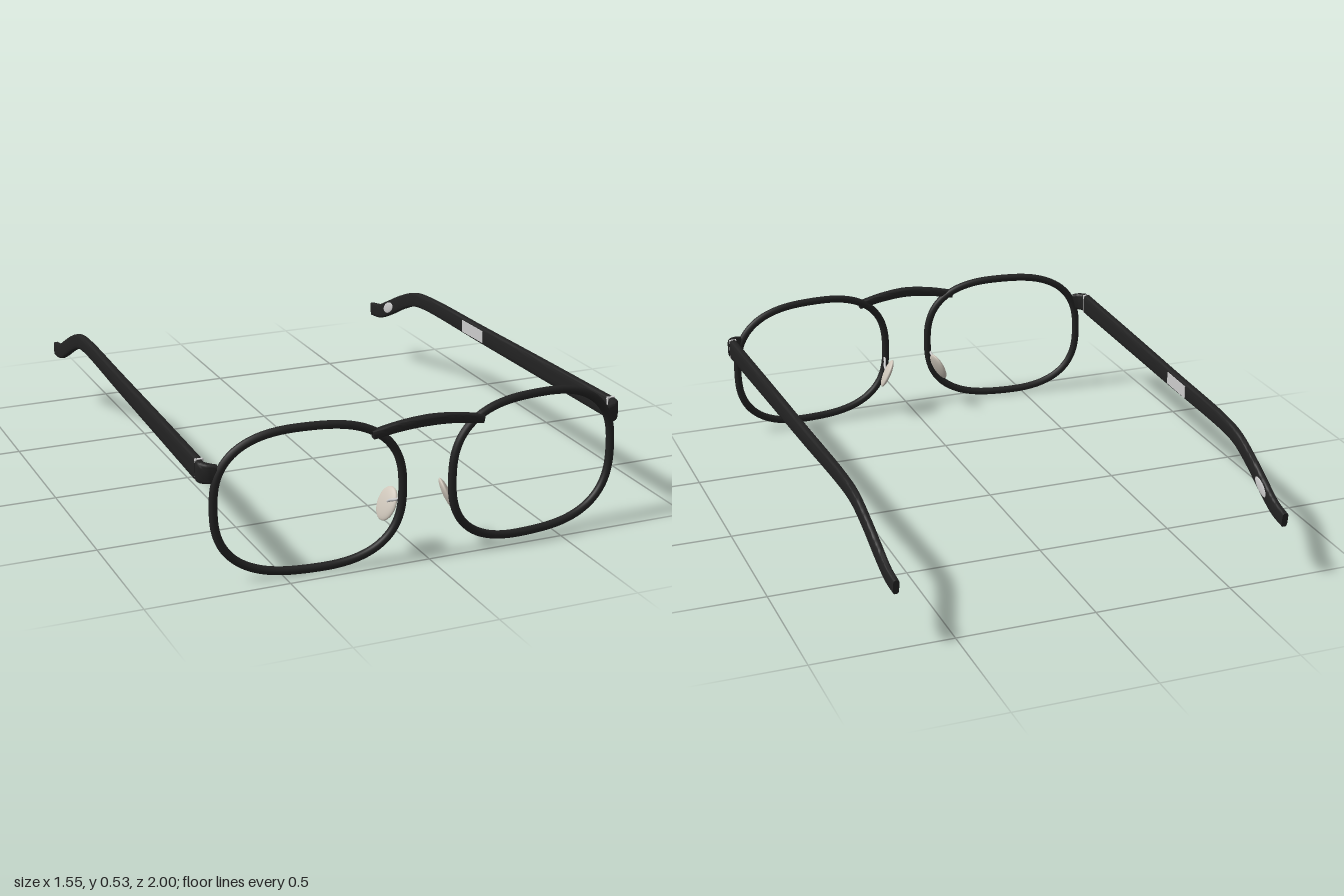
import * as THREE from 'three';
import { toCreasedNormals } from 'three/addons/utils/BufferGeometryUtils.js';

const black = new THREE.MeshStandardMaterial({ color: 0x222222 });
const grey = new THREE.MeshStandardMaterial({ color: 0xcccccc });
const padMat = new THREE.MeshStandardMaterial({ color: 0xcdc5b9 });
const V = (x, y, z) => new THREE.Vector3(x, y, z);

function add(parent, name, geometry, material) {
  const mesh = new THREE.Mesh(geometry, material);
  mesh.name = name;
  parent.add(mesh);
  return mesh;
}

// Sweeps a rounded rectangle along stations [x, y, z, halfWidth, halfHeight]
function sweep(stations, steps, sides = 24) {
  const path = new THREE.CatmullRomCurve3(stations.map(s => V(s[0], s[1], s[2])));
  const up0 = V(0, 1, 0), pos = [], index = [];
  const corner = v => Math.sign(v) * Math.pow(Math.abs(v), 0.5);
  for (let i = 0; i <= steps; i++) {
    const u = i / steps, f = u * (stations.length - 1);
    const k = Math.min(Math.floor(f), stations.length - 2);
    const size = n => THREE.MathUtils.lerp(stations[k][n], stations[k + 1][n], f - k);
    const c = path.getPoint(u), t = path.getTangent(u);
    const side = t.clone().cross(up0).normalize(), up = side.clone().cross(t);
    for (let j = 0; j < sides; j++) {
      const a = (j / sides) * Math.PI * 2;
      const p = c.clone()
        .addScaledVector(side, size(3) * corner(Math.cos(a)))
        .addScaledVector(up, size(4) * corner(Math.sin(a)));
      pos.push(p.x, p.y, p.z);
    }
  }
  for (let j = 0; j < sides; j++) {
    const n = (j + 1) % sides;
    for (let i = 0; i < steps; i++) {
      const a = i * sides + j, b = i * sides + n;
      index.push(a, a + sides, b, b, a + sides, b + sides);
    }
    // end caps as fans
    const e = steps * sides;
    if (j > 0 && j < sides - 1) index.push(0, j, n, e, e + n, e + j);
  }
  const g = new THREE.BufferGeometry();
  g.setAttribute('position', new THREE.Float32BufferAttribute(pos, 3));
  g.setIndex(index);
  return toCreasedNormals(g, 0.7);
}

// The front bends back gently towards the temples
const frontZ = x => 0.985 - 0.1 * Math.abs(x);
// The temples converge slightly towards the tips
const templeX = z => 0.757 - (0.855 - z) * 0.031;

function rim(s) {
  const pts = [], pow = v => Math.sign(v) * Math.pow(Math.abs(v), 2 / 2.6);
  for (let i = 0; i < 64; i++) {
    const a = ((i + 0.5) / 64) * Math.PI * 2;
    const x = s * 0.411 + 0.32 * pow(Math.cos(a));
    pts.push(V(x, 0.264 + 0.249 * pow(Math.sin(a)), frontZ(x)));
  }
  return new THREE.TubeGeometry(new THREE.CatmullRomCurve3(pts, true), 128, 0.0145, 12, true);
}

function buildSide(s) {
  const side = new THREE.Group();
  side.name = s > 0 ? 'leftSide' : 'rightSide';

  add(side, 'rim', rim(s), black);

  // Corner block joining rim and temple
  add(side, 'endPiece', sweep([
    [s * 0.715, 0.385, 0.912, 0.009, 0.03],
    [s * 0.74, 0.385, 0.902, 0.013, 0.034],
    [s * 0.758, 0.385, 0.882, 0.015, 0.036],
    [s * 0.759, 0.385, 0.863, 0.015, 0.037],
  ], 12), black);

  const hinge = add(side, 'hingePlate', new THREE.BoxGeometry(0.027, 0.076, 0.012), grey);
  hinge.position.set(s * 0.757, 0.386, 0.859);

  // Temple: long straight arm, then the curved ear tip
  const line = [
    [0.385, 0.855, 0.015, 0.04], [0.385, 0.4, 0.015, 0.037],
    [0.384, -0.05, 0.015, 0.033], [0.383, -0.5, 0.014, 0.029],
    [0.37, -0.61, 0.014, 0.028], [0.329, -0.72, 0.013, 0.029],
    [0.278, -0.825, 0.013, 0.03], [0.236, -0.92, 0.012, 0.029],
    [0.223, -0.998, 0.011, 0.027],
  ];
  add(side, 'temple', sweep(line.map(([y, z, w, h]) => [s * templeX(z), y, z, w, h]), 64), black);

  // Pale inlays on the inner face of the arm and tip
  const inlay = add(side, 'templeInlay', new THREE.BoxGeometry(0.004, 0.046, 0.16), grey);
  inlay.position.set(s * (templeX(-0.1) - 0.0145), 0.384, -0.1);
  inlay.rotation.y = s * 0.031;
  const tip = add(side, 'tipInlay', new THREE.SphereGeometry(1, 24, 16), grey);
  tip.scale.set(0.004, 0.021, 0.048);
  tip.position.set(s * (templeX(-0.83) - 0.012), 0.276, -0.83);
  tip.rotation.x = -0.45;

  // Nose pad on its wire
  const pad = add(side, 'nosePad', new THREE.SphereGeometry(1, 32, 20), padMat);
  pad.scale.set(0.013, 0.06, 0.045);
  pad.position.set(s * 0.111, 0.18, 0.897);
  pad.rotation.set(0, -s * 0.25, s * 0.42, 'YXZ');
  const wire = new THREE.CatmullRomCurve3([
    V(s * 0.098, 0.225, 0.972), V(s * 0.103, 0.212, 0.95),
    V(s * 0.112, 0.202, 0.925), V(s * 0.112, 0.185, 0.9),
  ]);
  add(side, 'padArm', new THREE.TubeGeometry(wire, 16, 0.005, 8), grey);
  return side;
}

export function createModel() {
  const model = new THREE.Group();
  model.name = 'eyeglasses';
  model.add(buildSide(1), buildSide(-1));

  // Arched bridge between the rims
  add(model, 'bridge', sweep([
    [-0.2, 0.463, 0.972, 0.015, 0.015], [-0.1, 0.482, 0.979, 0.015, 0.017],
    [0, 0.49, 0.984, 0.016, 0.018],
    [0.1, 0.482, 0.979, 0.015, 0.017], [0.2, 0.463, 0.972, 0.015, 0.015],
  ], 32), black);
  return model;
}
